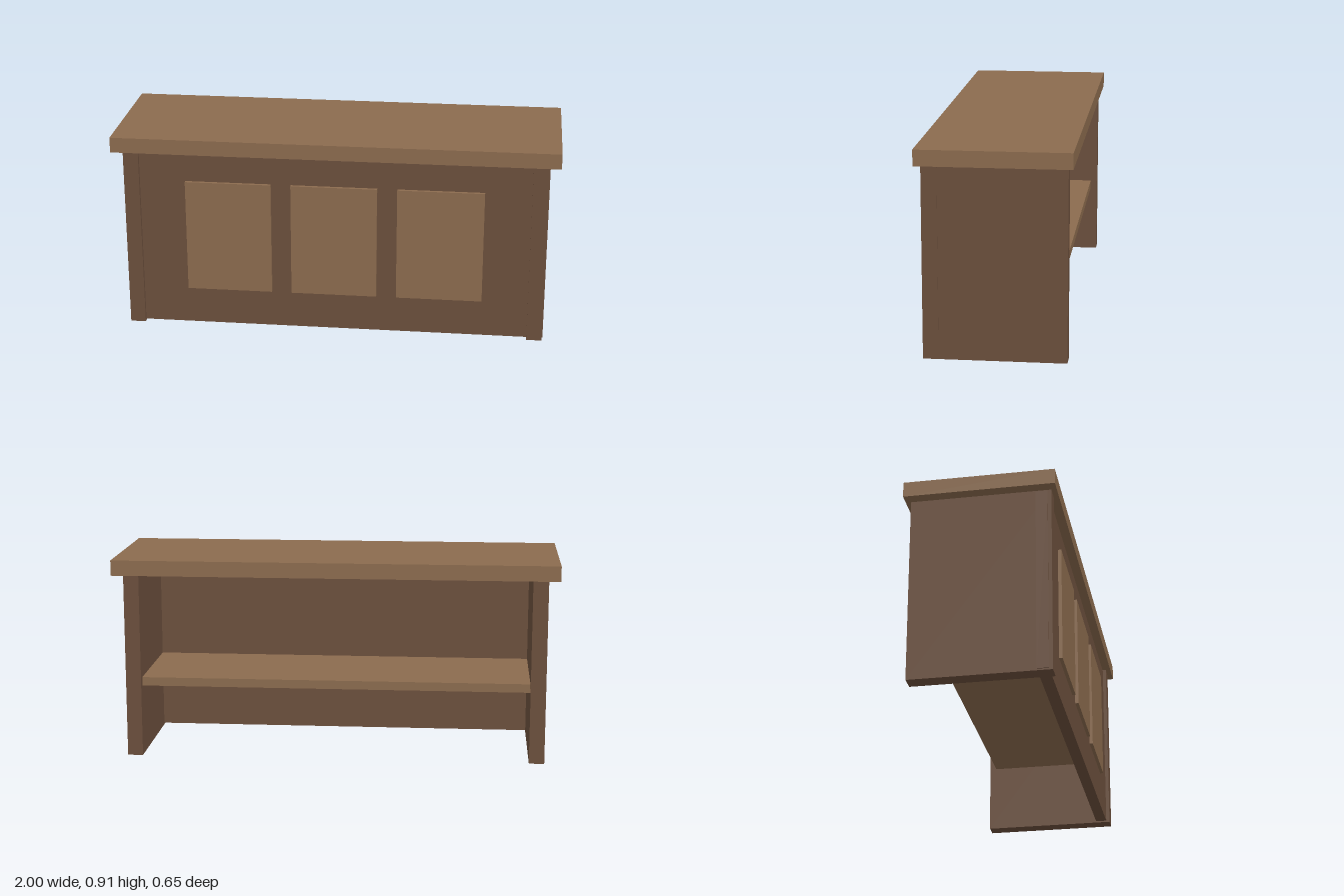
import * as THREE from 'three';

export function createModel() {
  const model = new THREE.Group();
  model.name = 'counter';

  const lightWood = new THREE.MeshStandardMaterial({ color: 0x8b6b4e });
  lightWood.name = 'light wood';
  const darkWood = new THREE.MeshStandardMaterial({ color: 0x6b4f3c });
  darkWood.name = 'dark wood';

  // Adds a box given its extents along each axis
  function addBox(name, material, [x0, x1], [y0, y1], [z0, z1]) {
    const mesh = new THREE.Mesh(new THREE.BoxGeometry(x1 - x0, y1 - y0, z1 - z0), material);
    mesh.position.set((x0 + x1) / 2, (y0 + y1) / 2, (z0 + z1) / 2);
    mesh.name = name;
    model.add(mesh);
  }

  // Overhanging worktop
  addBox('worktop', lightWood, [-1, 1], [0.837, 0.906], [-0.327, 0.327]);

  // Front board, running just past the sides
  addBox('frontBoard', darkWood, [-0.953, 0.953], [0.007, 0.832], [0.237, 0.288]);

  // Side walls
  addBox('leftSide', darkWood, [0.88, 0.949], [0, 0.837], [-0.304, 0.304]);
  addBox('rightSide', darkWood, [-0.949, -0.88], [0, 0.837], [-0.304, 0.304]);

  // Inner shelf, open to the back
  addBox('shelf', lightWood, [-0.88, 0.88], [0.321, 0.36], [-0.273, 0.24]);

  // Three raised panels on the front
  for (const x of [-0.478, 0, 0.478]) {
    addBox('raisedPanel', lightWood, [x - 0.194, x + 0.194], [0.18, 0.7], [0.28, 0.303]);
  }

  return model;
}
